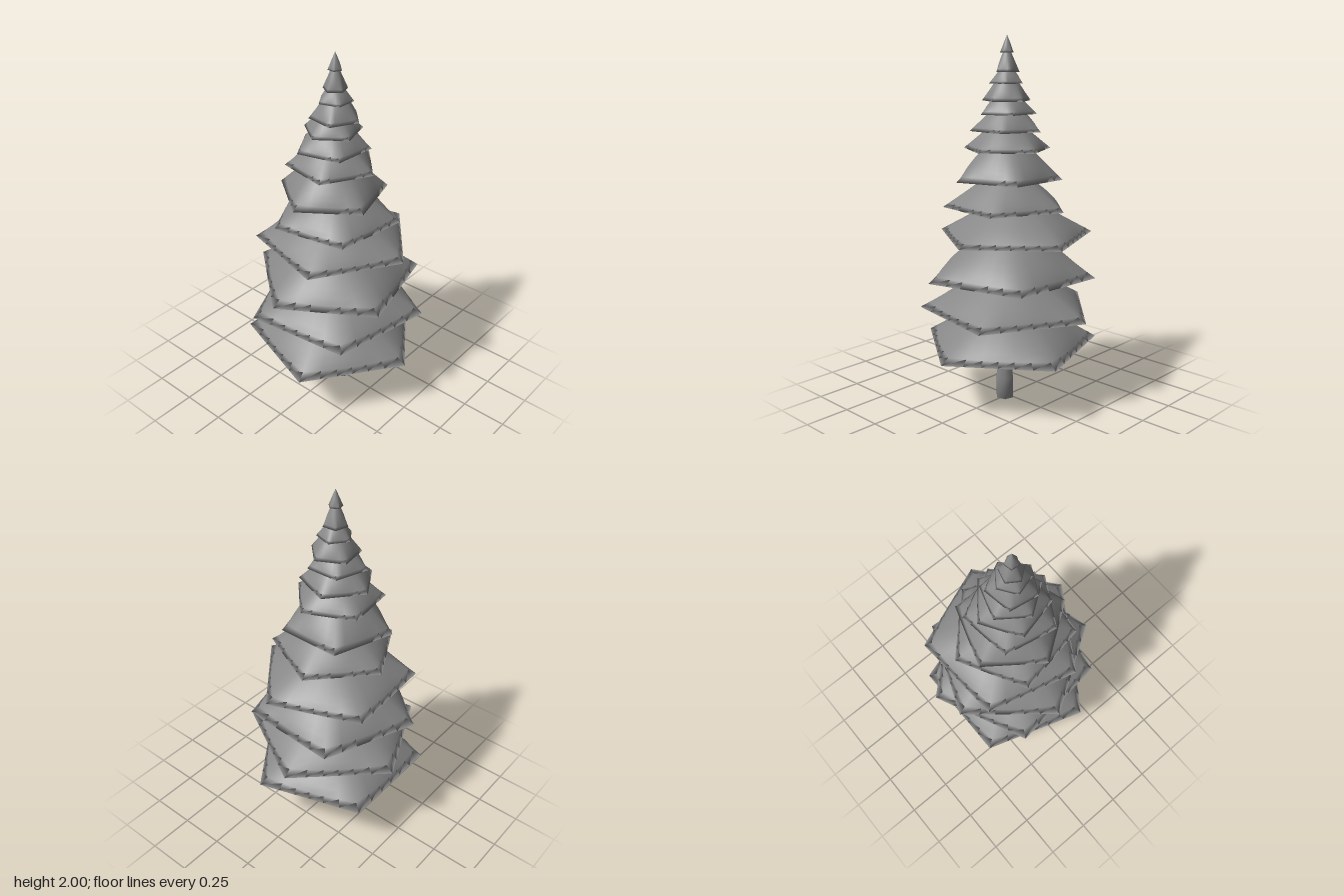
import * as THREE from 'three';

const SIDES = 5, SUB = 6, RINGS = 10;

// Joins closed rings of points (lowest first) into one smooth skin.
function loft(rings) {
  const n = rings[0].length, index = [];
  for (let r = 0; r < rings.length - 1; r++) {
    for (let i = 0; i < n; i++) {
      const a = r * n + i, b = r * n + (i + 1) % n, c = a + n, d = b + n;
      index.push(a, c, b, b, c, d);
    }
  }
  const geometry = new THREE.BufferGeometry().setFromPoints(rings.flat());
  geometry.setIndex(index);
  geometry.computeVertexNormals();
  return geometry;
}

// Solid skirt: shallow hollow underneath, a five-cornered rim, and bulging
// faces that quickly round off towards the tip.
function skirt(radius, base, tip, turn, cx, cz) {
  const count = SIDES * SUB, step = (Math.PI * 2) / SIDES;
  const ring = (scale, roundness, y) => Array.from({ length: count }, (_, i) => {
    const local = ((i % SUB) / SUB) * step - step / 2;
    const flat = Math.cos(step / 2) / Math.cos(local);
    const r = radius * scale * THREE.MathUtils.lerp(flat, 1, roundness);
    const a = (i / count) * Math.PI * 2 + THREE.MathUtils.degToRad(turn);
    return new THREE.Vector3(cx + r * Math.cos(a), y, cz + r * Math.sin(a));
  });

  const height = tip - base, hollow = height * 0.23;
  const rings = [ring(0.005, 0, base + hollow), ring(0.5, 0, base + hollow * 0.5)];
  for (let k = 0; k <= RINGS; k++) {
    const t = Math.min(k / RINGS, 0.995);
    rings.push(ring(1 - t, 1 - Math.pow(1 - t, 2.8), base + height * t));
  }
  return loft(rings);
}

export function createModel() {
  const tree = new THREE.Group();
  tree.name = 'tree';
  const grey = new THREE.MeshStandardMaterial({ color: 0x888888, side: THREE.DoubleSide });
  grey.name = 'plain grey';

  // Branch tiers: radius, rim height, tip height, turn in degrees, centre x, centre z
  const tiers = [
    [0.508, 0.315, 0.63, 0, -0.013, 0.008],
    [0.497, 0.52, 0.80, -25, -0.012, -0.003],
    [0.475, 0.71, 1.04, 21.5, -0.016, 0.001],
    [0.445, 0.93, 1.18, -3.5, -0.031, -0.022],
    [0.35, 1.09, 1.33, -28.5, -0.009, 0.01],
    [0.302, 1.24, 1.53, 18.5, -0.019, 0.022],
    [0.248, 1.40, 1.60, -7, -0.018, 0.022],
    [0.202, 1.50, 1.69, -32, -0.019, 0.02],
    [0.159, 1.59, 1.75, 18, -0.018, 0.02],
    [0.137, 1.66, 1.84, -9, -0.005, 0.012],
    [0.095, 1.75, 1.87, -35, -0.007, 0.012],
    [0.066, 1.81, 1.96, 15, -0.008, 0.012],
    [0.038, 1.91, 2.0, -12, -0.008, 0.012],
  ];
  tiers.forEach((tier, i) => {
    const mesh = new THREE.Mesh(skirt(...tier), grey);
    mesh.name = `branchTier${i + 1}`;
    tree.add(mesh);
  });

  // Slightly leaning, tapering trunk with a closed foot: height, radius, centre x, centre z
  const trunkRings = [
    [0, 0.001, 0.021, 0.002],
    [0, 0.053, 0.021, 0.002],
    [0.12, 0.052, 0.021, 0.003],
    [0.22, 0.045, 0.017, 0.005],
    [0.32, 0.038, 0.011, 0.006],
    [0.48, 0.033, 0.003, 0.006],
  ].map(([y, r, x, z]) => Array.from({ length: 6 }, (_, i) => {
    const a = (i / 6) * Math.PI * 2 + 0.25;
    return new THREE.Vector3(x + r * Math.cos(a), y, z + r * Math.sin(a));
  }));
  const trunk = new THREE.Mesh(loft(trunkRings), grey);
  trunk.name = 'trunk';
  tree.add(trunk);

  return tree;
}
